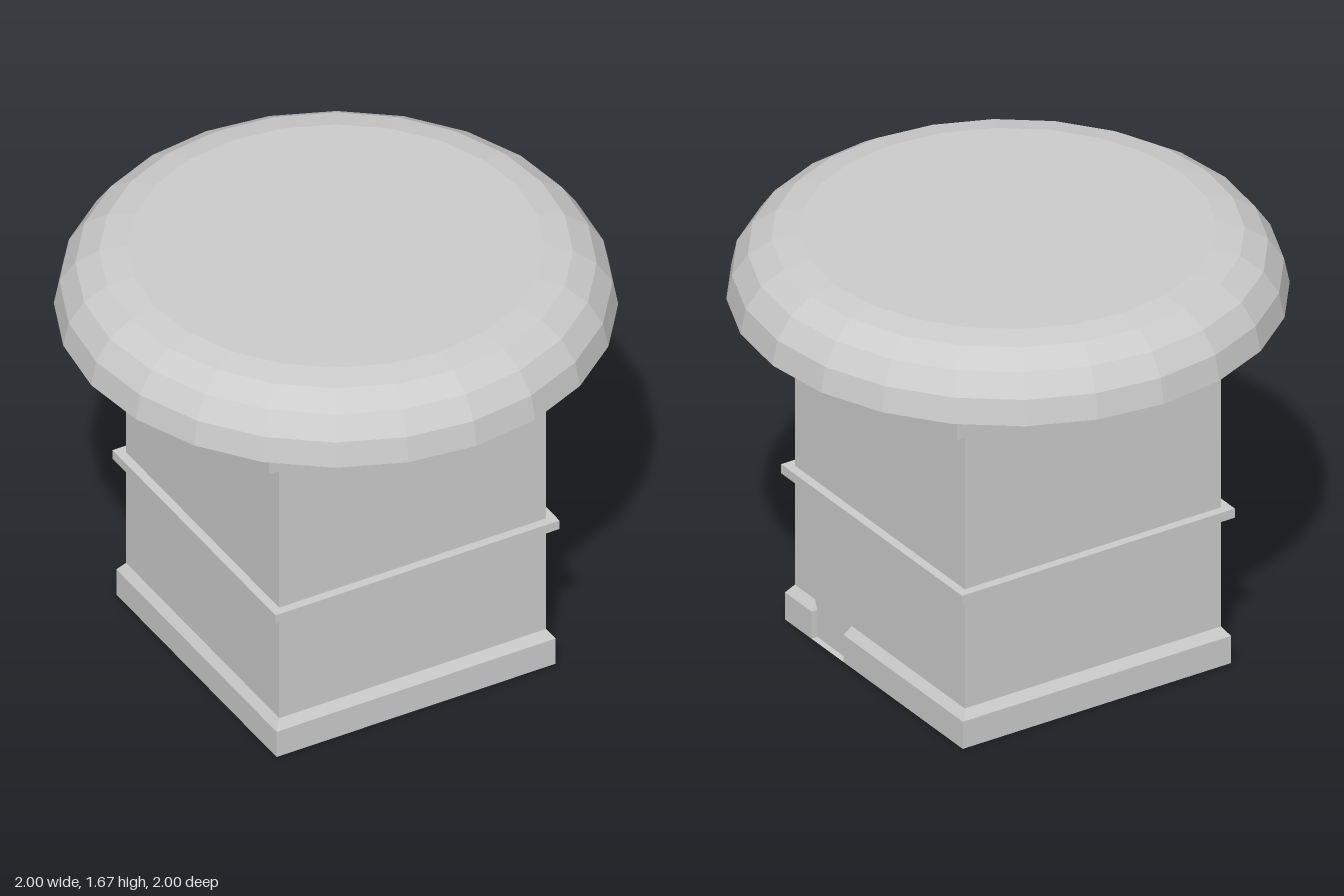
import * as THREE from 'three';

const material = new THREE.MeshStandardMaterial({ color: 0xcccccc, flatShading: true, side: THREE.DoubleSide });

function addMesh(parent, name, geometry) {
  const flat = geometry.index ? geometry.toNonIndexed() : geometry;
  flat.computeVertexNormals();
  const mesh = new THREE.Mesh(flat, material);
  mesh.name = name;
  parent.add(mesh);
}

// Square shell from a profile of [half width, y]; fewer than 4 sides start after the +x side.
function squareShell(profile, sides = 4) {
  const points = profile.map(([half, y]) => new THREE.Vector2(half * Math.SQRT2, y));
  return new THREE.LatheGeometry(points, sides, Math.PI * 0.75, sides * Math.PI / 2);
}

// Flat convex panels, corners counter-clockwise seen from the front.
function panels(list) {
  const positions = [];
  for (const p of list) {
    for (let i = 1; i < p.length - 1; i++) positions.push(...p[0], ...p[i], ...p[i + 1]);
  }
  const geometry = new THREE.BufferGeometry();
  geometry.setAttribute('position', new THREE.Float32BufferAttribute(positions, 3));
  return geometry;
}

export function createModel() {
  const group = new THREE.Group();
  const wall = 0.545, foot = 0.57, footTop = 0.11, plinthTop = 0.145;

  // Hollow plinth: three plain sides
  const plinth = new THREE.Group();
  plinth.name = 'plinth';
  group.add(plinth);
  addMesh(plinth, 'plinthSides', squareShell([[foot, 0], [foot, footTop], [wall, plinthTop]], 3));

  // Fourth side, interrupted by a recess that is flush with the wall
  const z0 = 0.195, z1 = 0.4, slope = 0.015;
  const side = [];
  const addSpan = (a, b, aTop, bTop) => side.push(
    [[foot, 0, b], [foot, 0, a], [foot, footTop, a], [foot, footTop, b]],
    [[foot, footTop, b], [foot, footTop, a], [wall, plinthTop, aTop], [wall, plinthTop, bTop]]
  );
  addSpan(-foot, z0, -wall, z0 - slope);
  addSpan(z1, foot, z1 + slope, wall);
  side.push(
    [[wall, 0, z1], [wall, 0, z0], [wall, footTop, z0], [wall, footTop, z1]],
    [[wall, footTop, z1], [wall, footTop, z0], [wall, plinthTop, z0 - slope], [wall, plinthTop, z1 + slope]],
    [[wall, 0, z0], [wall, 0, z1], [foot, 0, z1], [foot, 0, z0]],
    [[wall, 0, z0], [foot, 0, z0], [foot, footTop, z0], [wall, footTop, z0]],
    [[foot, 0, z1], [wall, 0, z1], [wall, footTop, z1], [foot, footTop, z1]],
    [[wall, footTop, z0], [foot, footTop, z0], [wall, plinthTop, z0 - slope]],
    [[foot, footTop, z1], [wall, footTop, z1], [wall, plinthTop, z1 + slope]]
  );
  addMesh(plinth, 'recessedSide', panels(side));

  // Square shaft with the raised band around its middle
  addMesh(group, 'lowerShaft', squareShell([[wall, plinthTop], [wall, 0.59]]));
  addMesh(group, 'band', squareShell([[wall, 0.59], [0.58, 0.59], [0.58, 0.627], [wall, 0.627]]));
  addMesh(group, 'upperShaft', squareShell([[wall, 0.627], [wall, 1.305]]));

  // Wider collar under the cap
  addMesh(group, 'collar', squareShell([[wall, 1.305], [0.645, 1.305], [0.645, 1.42]]));

  // Round cap with a rounded rim and flat top and underside
  const capProfile = [new THREE.Vector2(0, 1.42)];
  for (let i = 0; i <= 4; i++) {
    const a = i * Math.PI / 8;
    capProfile.push(new THREE.Vector2(0.74 + 0.26 * Math.cos(a), 1.42 + 0.25 * Math.sin(a)));
  }
  capProfile.push(new THREE.Vector2(0, 1.67));
  addMesh(group, 'cap', new THREE.LatheGeometry(capProfile, 24));

  return group;
}
